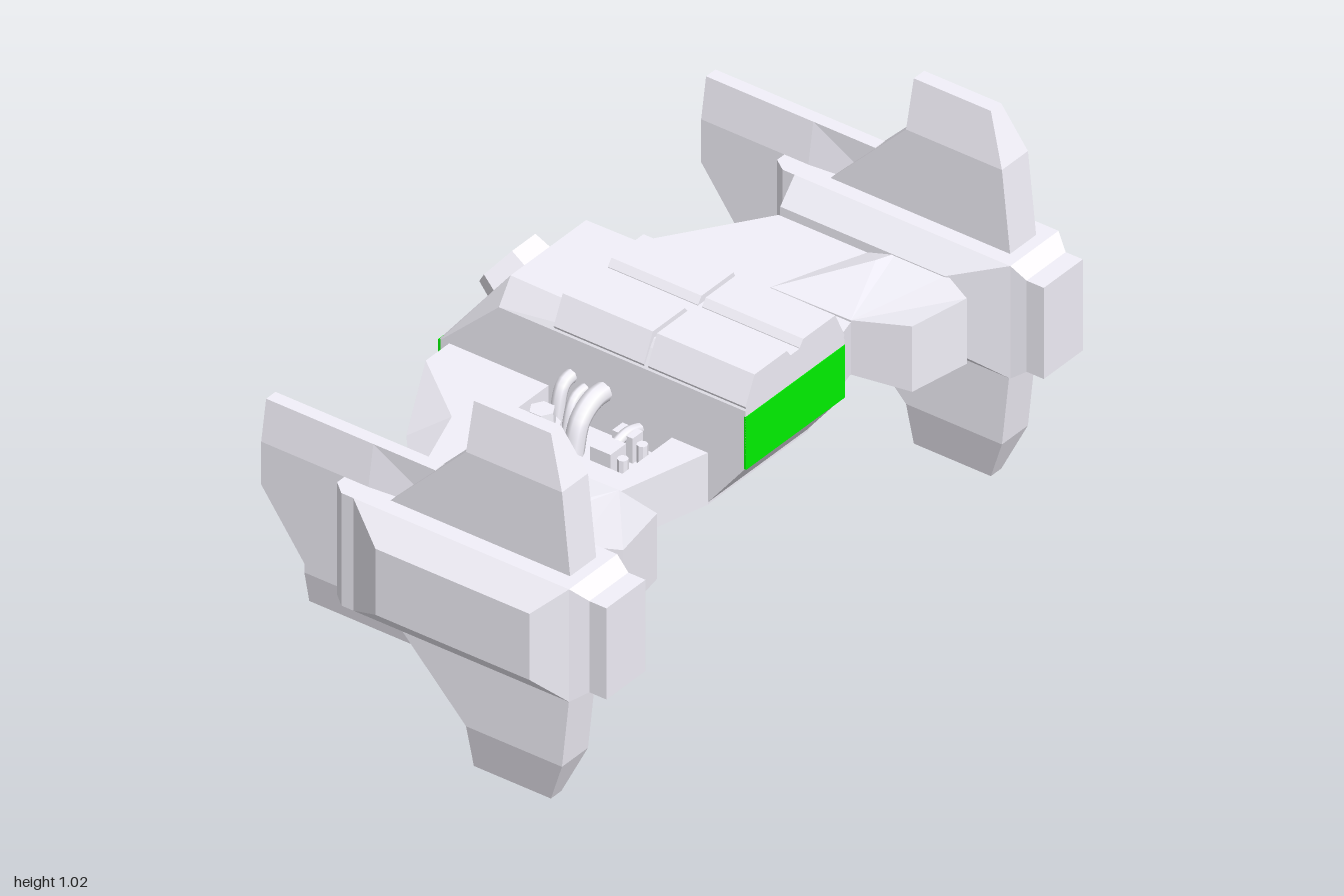
import * as THREE from 'three';

const hull = new THREE.MeshStandardMaterial({ color: 0xf3f1fa, flatShading: true });
const smooth = new THREE.MeshStandardMaterial({ color: 0xf3f1fa });
const green = new THREE.MeshStandardMaterial({ color: 0x00f400, flatShading: true });

function add(parent, name, geometry, material = hull) {
  const mesh = new THREE.Mesh(geometry, material);
  mesh.name = name;
  parent.add(mesh);
  return mesh;
}

// Closed solid through rings of equal point count; winding is fixed by its signed volume
function loft(rings) {
  const n = rings[0].length, tris = [];
  for (let r = 0; r + 1 < rings.length; r++) {
    for (let i = 0; i < n; i++) {
      const j = (i + 1) % n, a = rings[r], b = rings[r + 1];
      tris.push([a[i], a[j], b[j]], [a[i], b[j], b[i]]);
    }
  }
  const first = rings[0], last = rings[rings.length - 1];
  for (let i = 1; i + 1 < n; i++) {
    tris.push([first[0], first[i + 1], first[i]], [last[0], last[i], last[i + 1]]);
  }
  const v = p => new THREE.Vector3(...p);
  const volume = tris.reduce((s, [a, b, c]) => s + v(a).dot(v(b).cross(v(c))), 0);
  if (volume < 0) tris.forEach(t => t.reverse());
  const g = new THREE.BufferGeometry();
  g.setAttribute('position', new THREE.Float32BufferAttribute(tris.flat(2), 3));
  g.computeVertexNormals();
  return g;
}

const rectZ = (s, x0, x1, y0, y1, z) =>
  [[s * x0, y0, z], [s * x1, y0, z], [s * x1, y1, z], [s * x0, y1, z]];
const rectX = (x, y0, y1, z0, z1) => [[x, y0, z0], [x, y1, z0], [x, y1, z1], [x, y0, z1]];

// Upright slab from a plan outline of [x, z] points
function slab(outline, y0, y1, holes = []) {
  const toV = ([x, z]) => new THREE.Vector2(x, -z);
  const shape = new THREE.Shape(outline.map(toV));
  holes.forEach(h => shape.holes.push(new THREE.Path(h.map(toV))));
  return new THREE.ExtrudeGeometry(shape, { depth: y1 - y0, bevelEnabled: false })
    .rotateX(-Math.PI / 2).translate(0, y0, 0);
}

// Three layers: a floor, a layer notched at the trailing edge, and a top with open bays
function buildWing(root) {
  const outline = rear => {
    const half = [[0.19, 0.265], [0.445, 0.2], [0.7, 0.25], [0.7, -0.205], rear, [0.28, -0.49]];
    return [...half, ...half.map(([x, z]) => [-x, z]).reverse()];
  };
  const edge = [0.48, -0.395];
  const bay = s => [[s * 0.18, -0.2], [s * 0.38, -0.2], [s * 0.38, 0.16], [s * 0.18, 0.16]];
  add(root, 'wingFloor', slab(outline(edge), 0.44, 0.475));
  add(root, 'wingNotch', slab(outline([0.45, -0.335]), 0.475, 0.52));
  const g = slab(outline(edge), 0.52, 0.585, [bay(1), bay(-1)]);
  // the upper trailing edge is pulled in to make a sloping rear face
  const p = g.attributes.position;
  for (let i = 0; i < p.count; i++) {
    if (p.getY(i) > 0.55 && Math.abs(p.getZ(i) - edge[1]) < 0.01) {
      p.setX(i, Math.sign(p.getX(i)) * 0.43);
      p.setZ(i, -0.3);
    }
  }
  g.computeVertexNormals();
  add(root, 'wingTop', g);
}

function buildCabin(root) {
  const cabin = new THREE.Group();
  cabin.name = 'cabin';
  root.add(cabin);
  // z, bottom, shoulder, roof, roof half width
  const sections = [
    [0.375, 0.585, 0.745, 0.81, 0.155], [0.26, 0.44, 0.745, 0.81, 0.155],
    [-0.345, 0.44, 0.745, 0.81, 0.145], [-0.52, 0.44, 0.58, 0.585, 0.185],
  ];
  add(cabin, 'cabinBody', loft(sections.map(([z, b, s, t, w]) =>
    [[-0.19, b, z], [0.19, b, z], [0.19, s, z], [w, t, z], [-w, t, z], [-0.19, s, z]])));

  // four bevelled roof panels
  const ring = (s, z) => [[0.018, 0.76], [0.018, 0.812], [0.032, 0.83], [0.155, 0.83],
    [0.19, 0.757], [0.185, 0.745]].map(([x, y]) => [s * x, y, z]);
  for (const s of [1, -1]) {
    add(cabin, 'frontRoofPanel', loft([ring(s, 0.375), ring(s, 0.09)]));
    add(cabin, 'rearRoofPanel', loft([ring(s, 0.078), ring(s, -0.185)]));
  }

  // hexagonal hatch on the sloping tail
  const hatch = add(cabin, 'rearHatch', new THREE.CylinderGeometry(0.09, 0.1, 0.06, 6).rotateY(Math.PI / 2));
  hatch.position.set(0, 0.716, -0.441);
  hatch.rotation.x = -Math.atan2(0.225, 0.175);

  add(cabin, 'frontWindow', new THREE.BoxGeometry(0.38, 0.147, 0.006), green).position.set(0, 0.656, 0.374);
  add(cabin, 'rearPanel', new THREE.BoxGeometry(0.38, 0.145, 0.006), green).position.set(0, 0.512, -0.519);
  add(cabin, 'bellyPanel', new THREE.BoxGeometry(0.37, 0.004, 0.31), green).position.set(0, 0.439, -0.1);
}

// Pipes, bolts and fittings inside a recessed bay
function buildEngineBay(root, s) {
  const bay = new THREE.Group();
  bay.name = 'engineBay';
  root.add(bay);
  const pipe = (name, pts, r) => add(bay, name, new THREE.TubeGeometry(new THREE.CatmullRomCurve3(
    pts.map(([x, y, z]) => new THREE.Vector3(s * x, y, z))), 16, r, 8), smooth);
  pipe('largePipe', [[0.17, 0.632, -0.04], [0.23, 0.632, -0.04], [0.28, 0.6, -0.04], [0.308, 0.51, -0.04]], 0.026);
  pipe('rearPipe', [[0.17, 0.64, -0.135], [0.22, 0.63, -0.135], [0.25, 0.51, -0.135]], 0.018);
  pipe('middlePipe', [[0.17, 0.62, -0.095], [0.23, 0.61, -0.095], [0.265, 0.51, -0.095]], 0.014);
  pipe('frontPipe', [[0.18, 0.57, 0.065], [0.24, 0.585, 0.065], [0.32, 0.565, 0.065]], 0.014);
  add(bay, 'boltBase', new THREE.CylinderGeometry(0.045, 0.05, 0.05, 8)).position.set(s * 0.3, 0.54, -0.135);
  add(bay, 'boltHead', new THREE.CylinderGeometry(0.032, 0.036, 0.05, 6)).position.set(s * 0.3, 0.58, -0.135);
  for (const [x, w] of [[0.235, 0.04], [0.31, 0.06]]) {
    add(bay, 'fitting', new THREE.BoxGeometry(w, 0.08, 0.06)).position.set(s * x, 0.55, 0.065);
    add(bay, 'plug', new THREE.CylinderGeometry(0.014, 0.014, 0.06, 8)).position.set(s * x, 0.54, 0.108);
  }
}

function buildSide(root, s) {
  const side = new THREE.Group();
  side.name = s > 0 ? 'leftPod' : 'rightPod';
  root.add(side);

  // thick wing root swelling outwards from the wing; x, z and share of the full swell
  const crest = [[0.445, 0.2, 0.2], [0.49, 0.345, 1], [0.66, 0.375, 1], [0.71, 0.28, 1],
    [0.71, 0.13, 1], [0.66, 0.11, 1], [0.446, -0.035, 0.05]];
  const foot = [...crest.slice(0, 4), [0.71, 0.05], [0.69, 0.045], [0.445, -0.04]];
  const level = (pts, y, swell) => pts.map(([x, z, k]) => [s * x, y + swell * (k ?? 0), z]);
  add(side, 'wingRoot', loft([
    level(crest, 0.442, -0.017), level(foot, 0.444, 0), level(foot, 0.583, 0), level(crest, 0.586, 0.022)]));

  // pod body with nose and chamfered tail
  add(side, 'podBody', loft([
    rectZ(s, 0.765, 0.915, 0.385, 0.64, 0.52), rectZ(s, 0.765, 0.915, 0.385, 0.64, 0.47),
    rectZ(s, 0.755, 0.94, 0.355, 0.67, 0.43), rectZ(s, 0.755, 0.94, 0.355, 0.67, -0.235),
    rectZ(s, 0.78, 0.91, 0.355, 0.67, -0.27)]));
  add(side, 'outerPanel', loft([rectX(s * 0.94, 0.355, 0.67, -0.2, 0.43), rectX(s, 0.42, 0.605, -0.09, 0.36)]));
  add(side, 'innerPanel', loft([rectX(s * 0.755, 0.355, 0.67, -0.2, 0.43), rectX(s * 0.7, 0.41, 0.61, -0.2, 0.28)]));

  // upper and lower front fins: y, rear z, front z, half thickness
  const c = s * 0.845;
  const finRing = ([y, zb, zf, w]) => [[c - w, y, zb], [c + w, y, zb], [c + w, y, zf], [c - w, y, zf]];
  const upper = [[0.66, -0.135, 0.4, 0.05], [0.895, 0.095, 0.375, 0.05], [1.022, 0.095, 0.32, 0.02]];
  add(side, 'upperFin', loft(upper.map(finRing)));
  add(side, 'lowerFin', loft(upper.map(([y, ...rest]) => finRing([1.022 - y, ...rest]))));

  // tail fin, thinning to its top, bottom and front edges
  const tail = [[0.265, -0.387, -0.04, 0.018], [0.355, -0.387, 0, 0.037], [0.38, -0.387, 0, 0.037],
    [0.55, -0.513, 0, 0.037], [0.67, -0.513, 0, 0.037], [0.78, -0.513, -0.02, 0.018]];
  add(side, 'tailFin', loft(tail.map(([y, zb, zf, w]) => [[c - w, y, zb], [c + w, y, zb],
    [c + w, y, -0.2], [c + 0.018, y, zf], [c - 0.018, y, zf], [c - w, y, -0.2]])));
}

export function createModel() {
  const model = new THREE.Group();
  model.name = 'spacecraft';
  buildWing(model);
  buildCabin(model);
  for (const s of [1, -1]) {
    buildEngineBay(model, s);
    buildSide(model, s);
  }
  return model;
}
